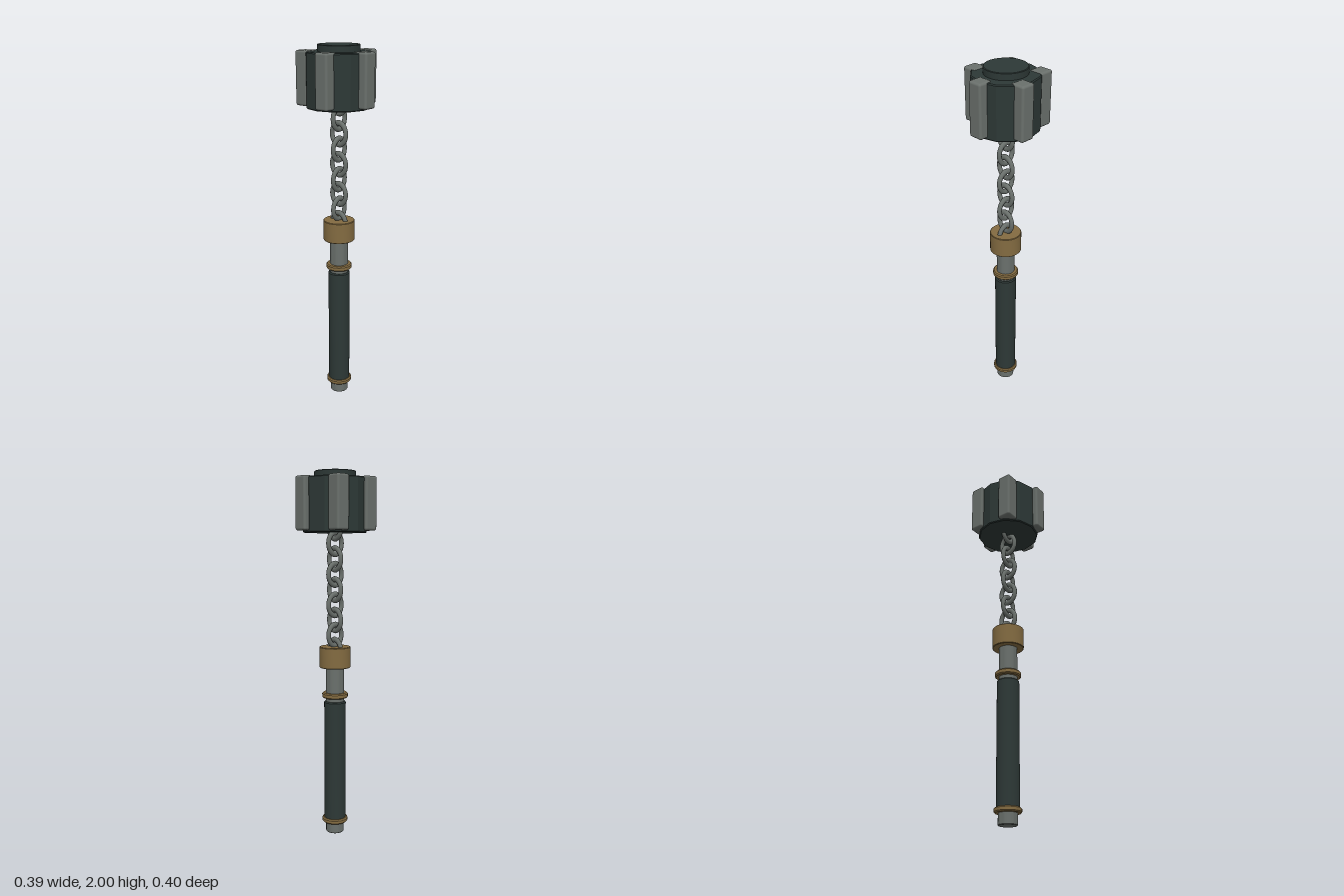
import * as THREE from 'three';
import { toCreasedNormals } from 'three/addons/utils/BufferGeometryUtils.js';
import { RoundedBoxGeometry } from 'three/addons/geometries/RoundedBoxGeometry.js';

const material = (name, color) => {
  const m = new THREE.MeshStandardMaterial({ color });
  m.name = name;
  return m;
};

export function createModel() {
  const steel = material('steel', 0x6a706c);
  const dark = material('dark iron', 0x2d3836);
  const brass = material('brass', 0x836b41);

  const model = new THREE.Group();
  model.name = 'flail';
  const axis = new THREE.Group(); // everything turns around one upright axis
  axis.name = 'flailBody';
  axis.position.x = -0.018;
  model.add(axis);

  const add = (name, geometry, mat, x = 0, y = 0, z = 0) => {
    const mesh = new THREE.Mesh(geometry, mat);
    mesh.name = name;
    mesh.position.set(x, y, z);
    axis.add(mesh);
    return mesh;
  };

  // Solid cylinder from y0 to y1 with bevelled rims
  const turned = (name, mat, r, y0, y1, bevel, sides = 32) => {
    const profile = [
      [0, y0], [r - bevel, y0], [r, y0 + bevel],
      [r, y1 - bevel], [r - bevel, y1], [0, y1],
    ].map(([x, y]) => new THREE.Vector2(x, y));
    return add(name, toCreasedNormals(new THREE.LatheGeometry(profile, sides), 0.4), mat);
  };

  // Handle
  turned('handleRod', steel, 0.05, 0, 1, 0.003);
  turned('grip', dark, 0.06, 0.08, 0.76, 0.006);
  turned('lowerRing', brass, 0.071, 0.06, 0.087, 0.006);
  turned('upperRing', brass, 0.071, 0.78, 0.809, 0.006);
  turned('collar', brass, 0.086, 0.95, 1.065, 0.003);

  // Chain of oval links, each turned a quarter from the last
  const linkGeometry = new THREE.TorusGeometry(0.047, 0.0125, 10, 28);
  for (let i = 0; i < 9; i++) {
    const link = add('chainLink', linkGeometry, steel, 0, 1.046 + i * 0.0825, 0);
    link.scale.y = 1.23;
    link.rotation.y = i % 2 ? Math.PI / 2 : 0;
  }

  // Twelve-sided head with a round cap
  turned('head', dark, 0.175, 1.68, 1.965, 0.005, 12);
  turned('headCap', dark, 0.111, 1.95, 2, 0.003, 40);

  // Five upright bars around the head, all square to the axes
  const barGeometry = new RoundedBoxGeometry(0.08, 0.28, 0.08, 3, 0.012);
  for (let i = 0; i < 5; i++) {
    const a = (i * Math.PI * 2) / 5;
    add('headBar', barGeometry, steel, 0.17 * Math.cos(a), 1.83, 0.17 * Math.sin(a));
  }

  return model;
}
